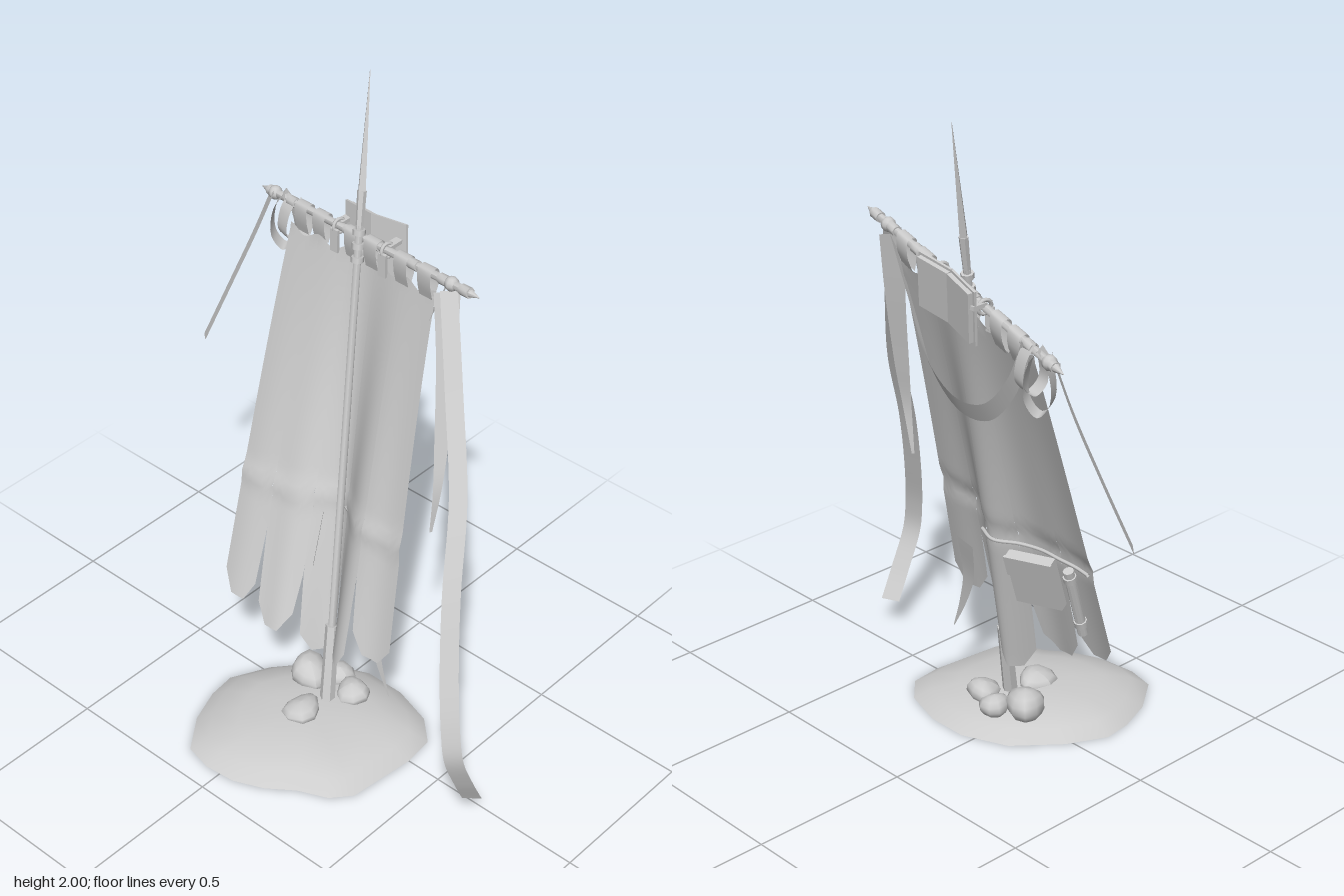
import * as THREE from 'three';
import { toCreasedNormals } from 'three/addons/utils/BufferGeometryUtils.js';

const V = (x, y, z) => new THREE.Vector3(x, y, z);
const lerp = THREE.MathUtils.lerp;

export function createModel() {
  const root = new THREE.Group();
  const stone = new THREE.MeshStandardMaterial({ color: 0xcccccc, side: THREE.DoubleSide });
  stone.name = 'plain grey';

  function add(geo, name, parent = root) {
    const m = new THREE.Mesh(geo, stone);
    m.name = name;
    parent.add(m);
    return m;
  }
  // tapered cylinder between two points
  function rod(a, b, ra, rb, name, sides = 8) {
    const d = b.clone().sub(a);
    const m = add(toCreasedNormals(new THREE.CylinderGeometry(rb, ra, d.length(), sides), 0.9), name);
    m.position.copy(a).addScaledVector(d, 0.5);
    m.quaternion.setFromUnitVectors(V(0, 1, 0), d.normalize());
  }
  // grid surface from fn(s, t)
  function sheet(fn, ns, nt, name) {
    const pos = [], idx = [];
    for (let j = 0; j <= nt; j++) for (let i = 0; i <= ns; i++) pos.push(...fn(i / ns, j / nt).toArray());
    for (let j = 0; j < nt; j++) for (let i = 0; i < ns; i++) {
      const a = j * (ns + 1) + i, b = a + ns + 1;
      idx.push(a, b, a + 1, b, b + 1, a + 1);
    }
    const g = new THREE.BufferGeometry();
    g.setAttribute('position', new THREE.Float32BufferAttribute(pos, 3));
    g.setIndex(idx);
    g.computeVertexNormals();
    return add(g, name);
  }
  // flat band following a curve; dir is the direction of its width
  function ribbon(pts, dir, w0, w1, name, n = 24) {
    const c = new THREE.CatmullRomCurve3(pts.map(p => V(...p)));
    const d = dir.clone().normalize();
    sheet((s, t) => c.getPoint(t).addScaledVector(d, (s - 0.5) * lerp(w0, w1, t)), 1, n, name);
  }

  // ground mound, open underneath
  const outline = [[-.27, .1], [-.26, .19], [-.22, .3], [-.14, .41], [-.05, .43], [.05, .42], [.14, .38], [.22, .32],
    [.31, .28], [.36, .22], [.385, 0], [.375, -.1], [.3, -.17], [.17, -.21], [.04, -.21], [-.1, -.15], [-.21, -.02]];
  const rings = [[0, .068], [.35, .065], [.6, .055], [.85, .033], [1, 0]];
  const mound = sheet((s, t) => {
    const [r, y] = rings[Math.round(t * 4)];
    const [x, z] = outline[Math.round(s * 17) % 17];
    return V(lerp(.05, x, r), y, lerp(.09, z, r));
  }, 17, 4, 'mound');
  mound.geometry = toCreasedNormals(mound.geometry, 0.8);

  // egg-shaped rocks, narrower towards one end
  const rockGeo = new THREE.SphereGeometry(1, 9, 7);
  const rp = rockGeo.attributes.position;
  for (let i = 0; i < rp.count; i++) {
    const f = 1 + .35 * rp.getZ(i);
    rp.setXY(i, rp.getX(i) * f, rp.getY(i) * (1 + .15 * rp.getX(i)));
  }
  rockGeo.computeVertexNormals();
  [[.04, .068, .1, .055, .03, .068, .2], [-.05, .075, -.03, .075, .05, .06, 2.6],
    [.1, .068, -.06, .05, .033, .06, 1], [.02, .065, -.09, .045, .035, .05, 3]].forEach(([x, y, z, a, b, c, r]) => {
    const m = add(rockGeo, 'rock');
    m.position.set(x, y, z);
    m.scale.set(a, b, c);
    m.rotation.set(0, r, .12);
  });

  // leaning pole with thick foot and spear point
  const poleAt = y => V(.06 - .22 * (y - .06) / 1.94, y, .01 - .41 * (y - .06) / 1.94);
  rod(poleAt(.04), poleAt(.31), .024, .021, 'poleFoot', 6);
  rod(poleAt(.3), poleAt(1.56), .012, .011, 'pole');
  rod(poleAt(1.54), poleAt(1.66), .011, .014, 'spearNeck', 6);
  rod(poleAt(1.66), poleAt(2), .014, .001, 'spearPoint', 4);
  for (const y of [1.46, 1.5, 1.54]) rod(poleAt(y - .008), poleAt(y + .008), .019, .019, 'poleCollar');

  // crossbar
  const barA = V(-.55, 1.444, -.41), barB = V(.36, 1.58, -.23);
  const barDir = barB.clone().sub(barA).normalize();
  const barAt = x => barA.clone().lerp(barB, (x + .55) / .91);
  rod(barA, barB, .012, .012, 'crossbar');
  rod(barAt(-.55), barAt(-.595), .015, .001, 'barTip');
  rod(barAt(.35), barAt(.395), .014, .001, 'barTip');
  for (const x of [-.54, -.44, -.17, -.05, .12, .25, .34]) rod(barAt(x - .018), barAt(x + .018), .016, .016, 'barSleeve');

  // banner surface: u across, y height
  const topLine = u => lerp(1.405, 1.49, u);
  const topY = u => topLine(u) + .012 * Math.cos(u * Math.PI * 10);
  function cloth(u, y) {
    const k = THREE.MathUtils.clamp((topLine(u) - y) / 1.09, 0, 1.15);
    const x = lerp(lerp(-.42, .21, u), lerp(-.35, .31, u), Math.pow(k, 1.3));
    const push = Math.exp(-Math.pow((u - .52) / lerp(.19, .12, k), 2)) * (.02 + .09 * k);
    const fold = .008 * Math.exp(-Math.pow((y - .67 - .06 * u) / .025, 2)) + .006 * k * Math.sin(u * 19);
    return V(x, y, lerp(lerp(-.355, -.265, u), lerp(.035, .015, u), k) - push + fold);
  }
  // five panels that part into rounded tongues
  const cuts = [0, .2, .41, .57, .77, 1], notch = [.3, .54, .45, .5, .57, .3], tips = [.3, .255, .19, .26, .345];
  tips.forEach((tip, i) => {
    sheet((s, t) => {
      const e = Math.abs(2 * s - 1);
      const bottom = tip + .1 * Math.max(0, e - .4);
      const u0 = lerp(cuts[i], cuts[i + 1], s);
      const y = lerp(topY(u0), bottom, t);
      const n = s < .5 ? notch[i] : notch[i + 1];
      const inset = e * .016 * THREE.MathUtils.clamp((n - y) / (n - bottom + .001), 0, 1);
      const outer = (i === 0 && s < .5) || (i === 4 && s > .5);
      return cloth(outer ? u0 : u0 + (s < .5 ? inset : -inset), y);
    }, 10, 44, 'bannerPanel');
  });
  // torn strip behind
  ribbon([[.16, .56, -.08], [.19, .42, -.04], [.24, .3, -.02], [.29, .2, -.01]], V(1, .2, 0), .07, .004, 'tornStrip');

  // cloth tabs looped over the bar
  [-.385, -.3, -.15, -.06, .075, .18].forEach(x => {
    const p = barAt(x), o = (dy, dz) => [p.x, p.y + dy, p.z + dz];
    ribbon([o(-.08, .008), o(-.03, .019), o(.012, .016), o(.017, 0), o(.012, -.016), o(-.03, -.019), o(-.08, 0)],
      barDir, .058, .058, 'bannerTab', 16);
  });
  // buckled straps
  for (const x of [-.22, 0]) {
    const p = barAt(x);
    const ring = add(new THREE.TorusGeometry(.021, .006, 6, 14), 'strapRing');
    ring.position.copy(p);
    ring.quaternion.setFromUnitVectors(V(0, 0, 1), barDir);
    const strap = add(new THREE.BoxGeometry(.028, .075, .01), 'strap');
    strap.position.set(p.x, p.y - .04, p.z + .02);
    const link = add(new THREE.BoxGeometry(.024, .012, .05), 'strapLink');
    link.position.set(p.x, p.y + .01, p.z - .025);
  }

  // open book hung behind the bar
  const book = new THREE.Group();
  book.name = 'book';
  for (const s of [-1, 1]) {
    const half = new THREE.Group();
    half.name = 'bookHalf';
    add(new THREE.BoxGeometry(.13, .17, .007), 'bookCover', half).position.x = s * .066;
    add(new THREE.BoxGeometry(.118, .155, .014), 'bookPages', half).position.set(s * .062, 0, -.01);
    half.rotation.y = s * .12;
    book.add(half);
  }
  book.position.set(-.1, 1.49, -.35);
  book.rotation.set(-.12, -.14, .13);
  root.add(book);

  // hanging sash across the back
  ribbon([[.25, 1.53, -.255], [.17, 1.36, -.26], [.08, 1.21, -.275], [-.06, 1.15, -.305], [-.21, 1.18, -.335], [-.34, 1.3, -.365],
    [-.43, 1.45, -.395]], V(.1, .85, -.35), .058, .058, 'backSash', 36);

  // dangling loops at the bar's right end: x on bar, drop, half width, heading of the loop
  [[-.485, .17, .035, -.5], [-.445, .13, .035, -1.3]].forEach(([x, drop, d, a]) => {
    const p = barAt(x), o = (dy, w) => [p.x + w * Math.cos(a), p.y + dy, p.z + w * Math.sin(a)];
    ribbon([o(.017, 0), o(-.03, d * .8), o(-drop * .75, d), o(-drop, 0), o(-drop * .75, -d), o(-.03, -d * .8), o(.017, 0)],
      V(-Math.sin(a), 0, Math.cos(a)), .05, .05, 'ribbonLoop');
  });
  for (const x of [-.53, .28]) add(new THREE.SphereGeometry(.022, 8, 6), 'ribbonKnot').position.copy(barAt(x));

  // streamers
  ribbon([[-.53, 1.46, -.395], [-.58, 1.31, -.37], [-.64, 1.12, -.32], [-.7, .92, -.26]], V(.7, .15, .6), .05, .045, 'rightStreamer');
  ribbon([[.28, 1.55, -.235], [.38, 1.3, -.15], [.49, 1.04, -.05], [.56, .8, .05], [.62, .58, .12], [.665, .42, .16], [.685, .32, .165],
    [.69, .2, .12], [.685, .1, .07]], V(.75, .1, -.5), .05, .058, 'leftLongStreamer', 48);
  ribbon([[.27, 1.54, -.24], [.3, 1.35, -.21], [.335, 1.1, -.16], [.35, .95, -.13], [.34, .8, -.12]], V(.6, 0, -.7), .075, .008, 'leftShortStreamer');

  // cord, pouch and scroll on the banner's back
  const behind = (u, y, d) => { const p = cloth(u, y); p.z -= d; return p; };
  const cord = new THREE.CatmullRomCurve3([.02, .1, .2, .3, .4, .5, .6].map(u => behind(u, .65 + .05 * u, .01)));
  add(new THREE.TubeGeometry(cord, 32, .006, 6), 'backCord');
  const pouch = add(new THREE.BoxGeometry(.15, .18, .03), 'pouch');
  pouch.position.copy(behind(.33, .555, .035));
  pouch.rotation.set(-.33, .3, .05);
  add(new THREE.BoxGeometry(.155, .07, .009), 'pouchFlap', pouch).position.set(0, .057, -.018);
  rod(behind(.13, .64, .022), behind(.13, .4, .022), .016, .016, 'scroll', 10);
  for (const y of [.61, .44]) rod(behind(.13, y + .01, .022), behind(.13, y - .01, .022), .02, .02, 'scrollBand', 10);

  return root;
}
